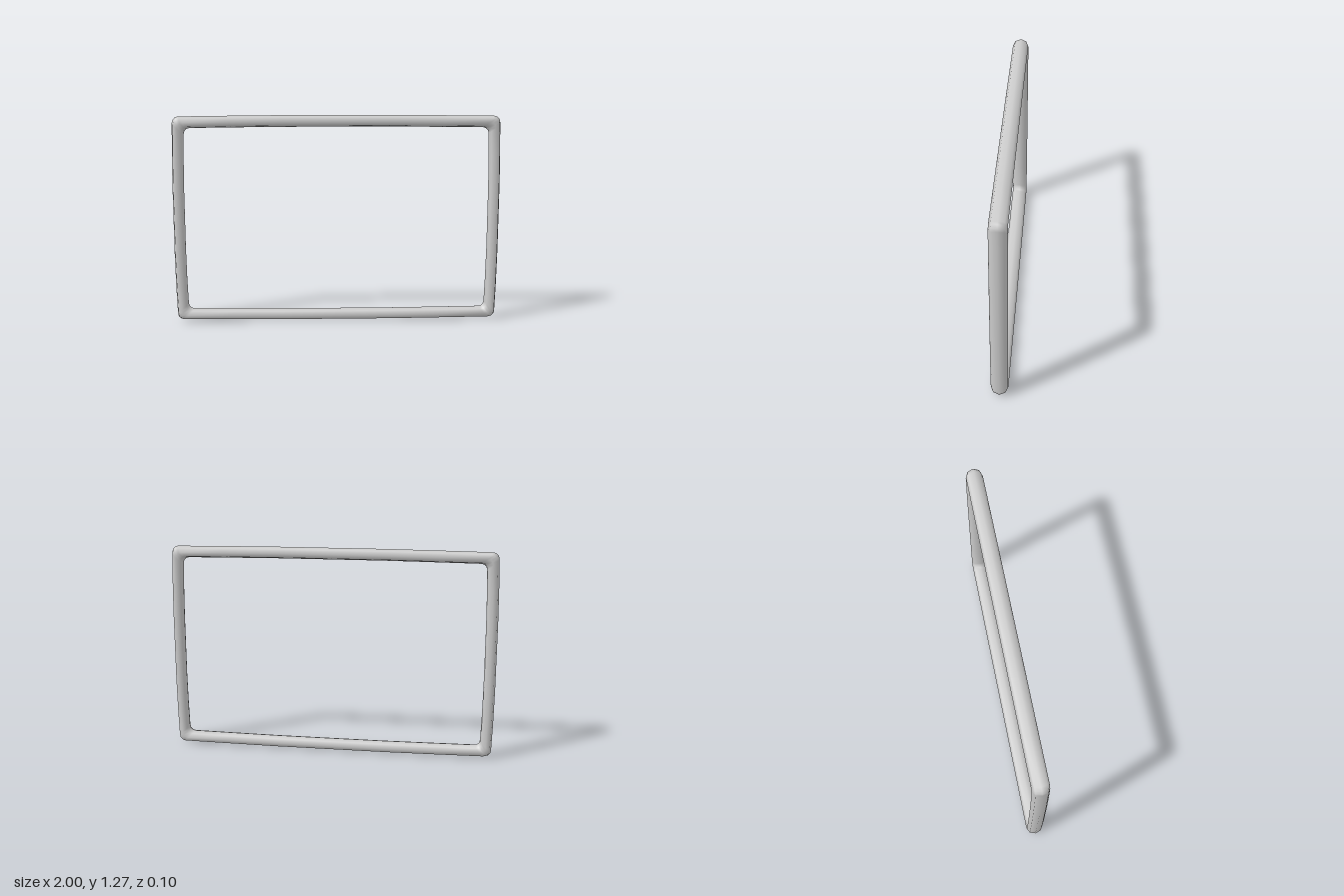
import * as THREE from 'three';

const HALF_W = 0.965, HALF_H = 0.602;   // centre line of the bar
const DEPTH_R = 0.05, WIDTH_R = 0.035;  // elliptical bar section
const SIDES = 8;

// Quarter of the centre line: slightly bowed sides and a small rounded corner
function quarter() {
  const pts = [[0.965, 0], [0.965, 0.2], [0.962, 0.4]];
  const r = 0.036, steps = 3;
  for (let i = 0; i <= steps; i++) {
    const a = (i / steps) * Math.PI / 2;
    pts.push([0.921 + r * Math.cos(a), 0.56 + r * Math.sin(a)]);
  }
  pts.push([0.66, 0.599], [0.33, 0.602], [0, 0.602]);
  return pts;
}

// Mirror the quarter into a closed counter-clockwise loop
function fullLoop() {
  const q = quarter();
  const half = [...q, ...q.slice(0, -1).reverse().map(([x, y]) => [-x, y])];
  return [...half, ...half.slice(1, -1).map(([x, y]) => [-x, -y])];
}

// Sweep the section round the loop, scaling the loop in and out so corners stay crisp
function frameGeometry() {
  const loop = fullLoop(), n = loop.length;
  const pos = [], index = [];
  loop.forEach(([x, y], i) => {
    for (let j = 0; j < SIDES; j++) {
      const a = (j / SIDES) * Math.PI * 2;
      const d = WIDTH_R * Math.cos(a);
      pos.push(x * (1 + d / HALF_W), y * (1 + d / HALF_H), DEPTH_R * Math.sin(a));
      const i2 = (i + 1) % n, j2 = (j + 1) % SIDES;
      const p = i * SIDES + j, q = i2 * SIDES + j, r = i2 * SIDES + j2, s = i * SIDES + j2;
      index.push(p, q, r, p, r, s);
    }
  });
  const g = new THREE.BufferGeometry();
  g.setAttribute('position', new THREE.Float32BufferAttribute(pos, 3));
  g.setIndex(index);
  g.computeVertexNormals();
  return g;
}

export function createModel() {
  const group = new THREE.Group();
  group.name = 'rectangularFrame';
  const frame = new THREE.Mesh(frameGeometry(), new THREE.MeshStandardMaterial({ color: 0xcccccc }));
  frame.name = 'frameBar';
  frame.position.y = HALF_H + WIDTH_R;
  group.add(frame);
  return group;
}
